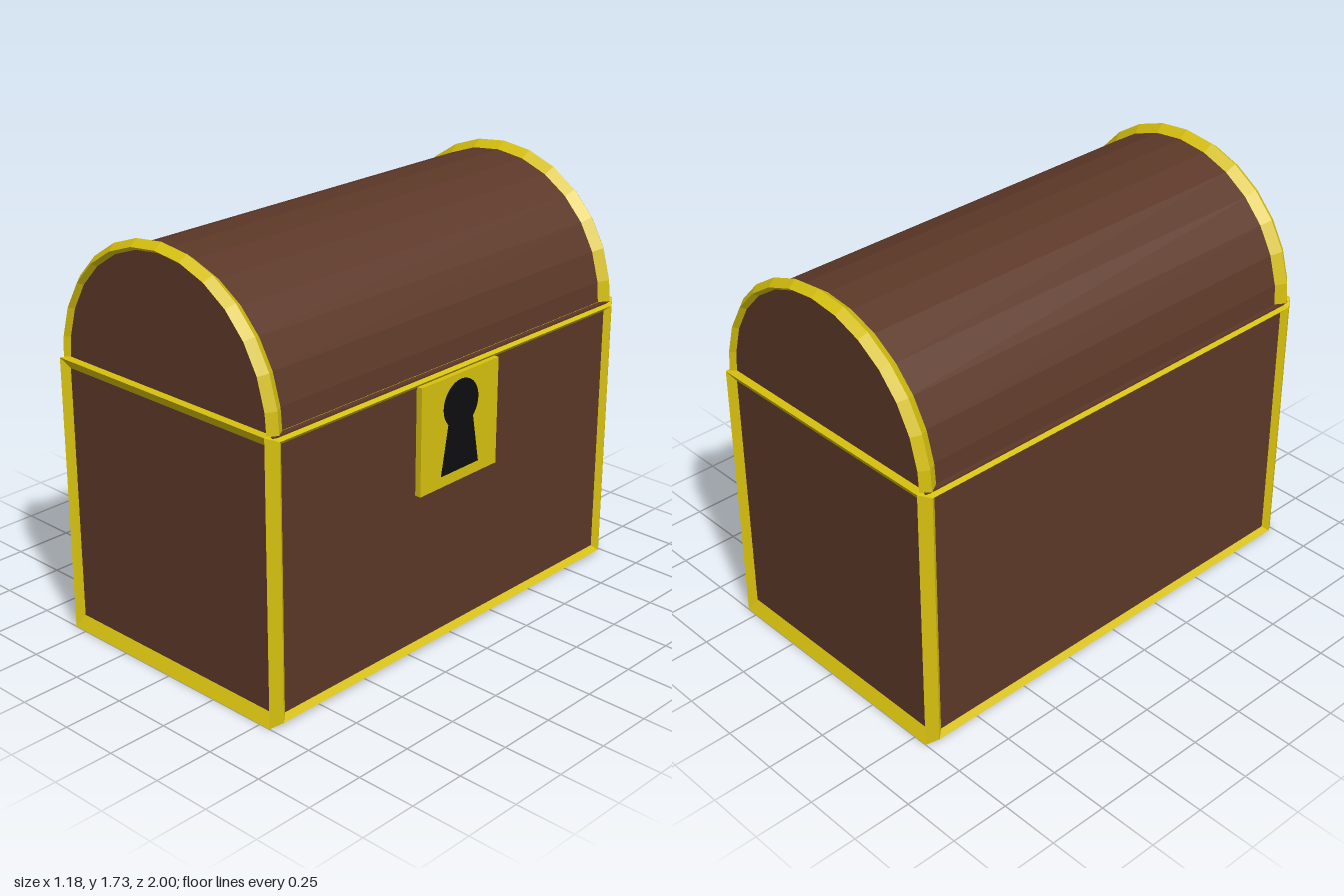
import * as THREE from 'three';

const material = (color) => new THREE.MeshStandardMaterial({ color, flatShading: true });
const wood = material(0x5c3828);
const gold = material(0xd6c00e);
const black = material(0x0e0e10);

function add(parent, name, geometry, mat) {
  const mesh = new THREE.Mesh(geometry, mat);
  mesh.name = name;
  parent.add(mesh);
  return mesh;
}

// Solid through matching cross-sections, capped at both ends and facing outwards
function loft(sections) {
  const tris = [];
  const n = sections[0].length;
  for (let s = 0; s < sections.length - 1; s++) {
    const a = sections[s], b = sections[s + 1];
    for (let i = 0; i < n; i++) {
      const j = (i + 1) % n;
      tris.push([a[i], a[j], b[j]], [a[i], b[j], b[i]]);
    }
  }
  const first = sections[0], last = sections[sections.length - 1];
  for (let i = 1; i < n - 1; i++) {
    tris.push([first[0], first[i + 1], first[i]], [last[0], last[i], last[i + 1]]);
  }
  let volume = 0;
  const v = tris.map((t) => t.map((p) => new THREE.Vector3(...p)));
  for (const [a, b, c] of v) volume += a.dot(b.clone().cross(c));
  const points = v.flatMap(([a, b, c]) => (volume < 0 ? [a, c, b] : [a, b, c]));
  const geometry = new THREE.BufferGeometry().setFromPoints(points);
  geometry.computeVertexNormals();
  return geometry;
}

const mirror = (sections, sx, sz) => sections.map((sec) => sec.map(([x, y, z]) => [x * sx, y, z * sz]));

// Half arch outline with a short upright at each foot
const baseY = 1.16;
const angles = [0];
for (let i = 0; i <= 12; i++) angles.push(9 + i * 13.5);
angles.push(180);
function archPoint(angle, rx, ry) {
  const t = THREE.MathUtils.degToRad(angle);
  const x = angle === 0 ? rx : angle === 180 ? -rx : rx * Math.cos(t);
  return [x, baseY + ry * Math.sin(t)];
}

function buildBody() {
  const body = new THREE.Group();
  body.name = 'body';
  add(body, 'bodyPanels', new THREE.BoxGeometry(1.13, 1.14, 1.94), wood).position.y = 0.585;

  // Mitred bars: [y, z] across the ends and [y, x] along the sides
  const levels = [
    { name: 'bottom', end: [0, 0.05], side: [0.02, 0.045], inner: 0.015 },
    { name: 'top', end: [1.16, 1.115], side: [1.14, 1.12], inner: 1.16 },
  ];
  for (const { name, end, side, inner } of levels) {
    for (const s of [1, -1]) {
      const endBar = [1, -1].map((m) => [
        [0.555 * m, end[0], s], [0.53 * m, end[1], 0.97 * s], [0.53 * m, inner, 0.93 * s],
      ]);
      add(body, name + 'EndTrim', loft(endBar), gold);
      const sideBar = [1, -1].map((m) => [
        [0.585 * s, side[0], 0.955 * m], [0.565 * s, side[1], 0.93 * m], [0.53 * s, inner, 0.93 * m],
      ]);
      add(body, name + 'SideTrim', loft(sideBar), gold);
    }
  }

  // Chamfered corner posts, each closing to a point behind the trim
  const rims = levels.map(({ end, side }) => [
    [0.585, side[0], 0.955], [0.555, end[0], 1], [0.53, end[1], 0.97], [0.565, side[1], 0.93],
  ]);
  const tips = levels.map(({ inner }) => Array(4).fill([0.53, inner, 0.93]));
  const post = [tips[0], rims[0], rims[1], tips[1]];
  for (const sx of [1, -1]) {
    for (const sz of [1, -1]) add(body, 'cornerPost', loft(mirror(post, sx, sz)), gold);
  }
  return body;
}

function buildLid() {
  const lid = new THREE.Group();
  lid.name = 'lid';
  const outline = new THREE.Shape(angles.map((a) => new THREE.Vector2(...archPoint(a, 0.55, 0.54))));
  const barrel = new THREE.ExtrudeGeometry(outline, { depth: 1.93, bevelEnabled: false });
  barrel.translate(0, 0, -0.965);
  add(lid, 'lidBarrel', barrel, wood);

  // Arched end trims: [x radius, y radius, z]
  const profile = [[0.53, 0.53, 0.964], [0.55, 0.545, 0.985], [0.578, 0.57, 0.95], [0.548, 0.535, 0.905]];
  const arch = angles.map((a) => profile.map(([rx, ry, z]) => [...archPoint(a, rx, ry), z]));
  for (const s of [1, -1]) add(lid, 'archTrim', loft(mirror(arch, 1, s)), gold);
  return lid;
}

function buildLock() {
  const lock = new THREE.Group();
  lock.name = 'lock';
  add(lock, 'lockPlate', new THREE.BoxGeometry(0.03, 0.445, 0.445), gold).position.set(0.576, 0.902, 0.002);

  // Keyhole: round head over a flared foot
  const hole = new THREE.Shape();
  hole.moveTo(-0.107, 0.727);
  hole.lineTo(0.107, 0.727);
  hole.lineTo(0.07, 0.93);
  hole.absarc(0, 1, 0.099, -Math.PI / 4, Math.PI * 1.25, false);
  hole.closePath();
  const geometry = new THREE.ExtrudeGeometry(hole, { depth: 0.02, bevelEnabled: false, curveSegments: 24 });
  geometry.rotateY(Math.PI / 2);
  geometry.translate(0.575, 0, 0);
  add(lock, 'keyhole', geometry, black);
  return lock;
}

export function createModel() {
  const chest = new THREE.Group();
  chest.name = 'chest';
  chest.add(buildBody(), buildLid(), buildLock());
  chest.position.x = -0.005;
  return chest;
}
